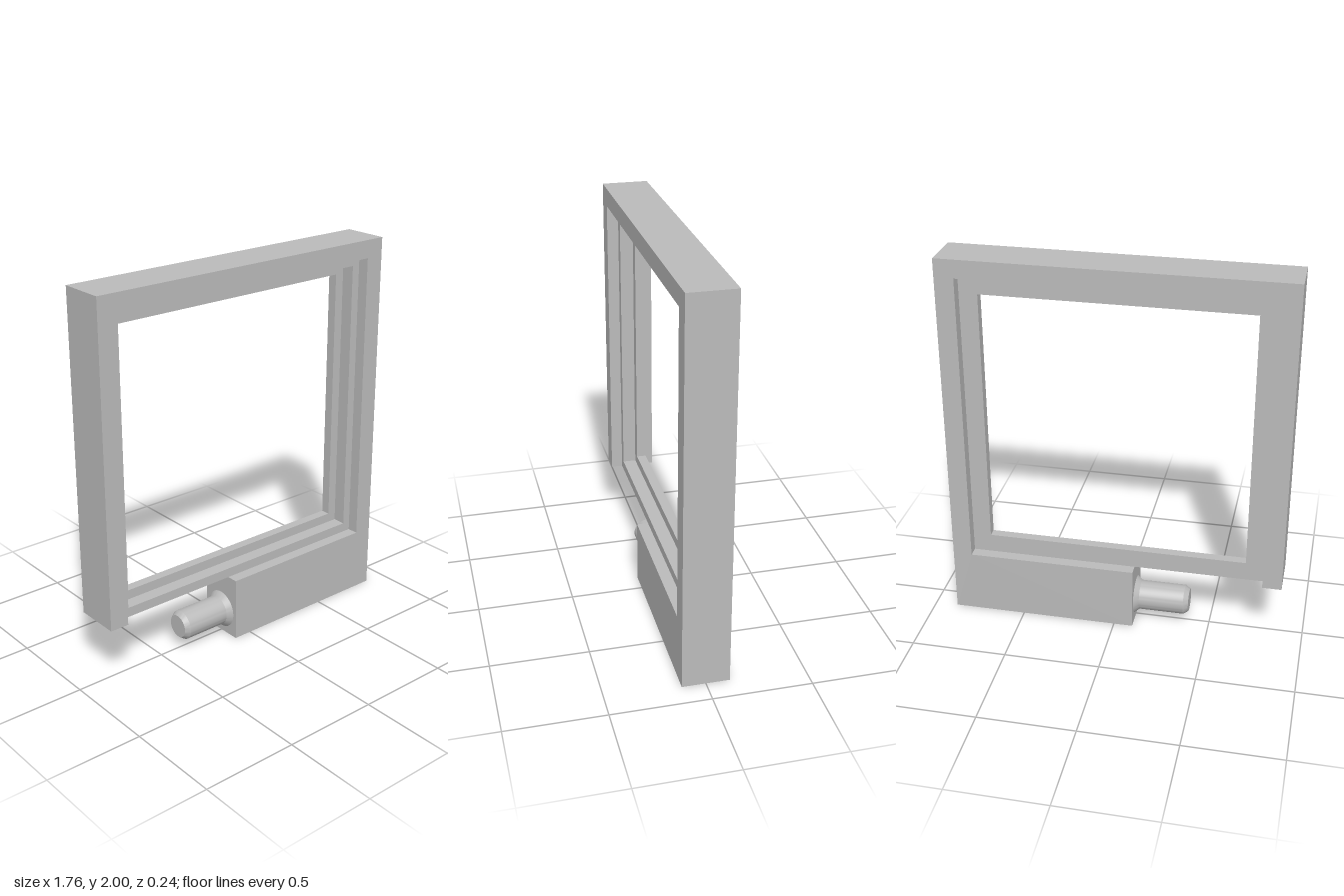
import * as THREE from 'three';
import { toCreasedNormals } from 'three/addons/utils/BufferGeometryUtils.js';

const grey = new THREE.MeshStandardMaterial({ color: 0xbababa });
grey.name = 'satin grey';

const HALF_DEPTH = 0.12;
const SILL = 0.34; // underside of the window frame

const toPoints = (list) => list.map(([x, y]) => new THREE.Vector2(x, y));

// Flat slab between two depths
function slab(name, shape, zBack, zFront) {
  const geometry = new THREE.ExtrudeGeometry(shape, { depth: zFront - zBack, bevelEnabled: false });
  geometry.translate(0, 0, zBack);
  const mesh = new THREE.Mesh(geometry, grey);
  mesh.name = name;
  return mesh;
}

// Rectangular panel with a rectangular opening
function windowShape(outer, inner) {
  const rect = ([w, y0, y1]) => toPoints([[-w, y0], [w, y0], [w, y1], [-w, y1]]);
  const shape = new THREE.Shape(rect(outer));
  shape.holes.push(new THREE.Path(rect(inner).reverse()));
  return shape;
}

export function createModel() {
  const model = new THREE.Group();
  model.name = 'windowFrame';

  // Outer frame, open along the lower edge, with the solid mounting block
  const outline = new THREE.Shape(toPoints([
    [-0.88, SILL], [-0.78, SILL], [-0.78, 1.905], [0.78, 1.905], [0.78, SILL],
    [-0.1, SILL], [-0.1, 0], [0.88, 0], [0.88, 2], [-0.88, 2],
  ]));
  model.add(slab('outerFrameAndBlock', outline, -HALF_DEPTH, HALF_DEPTH));

  // Recessed panel: a wide opening in front, a narrower lip behind
  const panel = [0.78, SILL, 1.905];
  model.add(slab('panelRebate', windowShape(panel, [0.735, 0.39, 1.86]), -0.01, 0.06));
  model.add(slab('panelLip', windowShape(panel, [0.685, 0.44, 1.81]), -0.06, -0.01));

  // Round pin with a flared collar and chamfered tip, pointing to -x
  const profile = toPoints([
    [0, 0], [0.1, 0], [0.078, 0.027], [0.078, 0.265], [0.06, 0.29], [0, 0.29],
  ]);
  const pin = new THREE.Mesh(toCreasedNormals(new THREE.LatheGeometry(profile, 48), 0.5), grey);
  pin.name = 'mountingPin';
  pin.rotation.z = Math.PI / 2;
  pin.position.set(-0.1, 0.128, 0);
  model.add(pin);

  return model;
}
